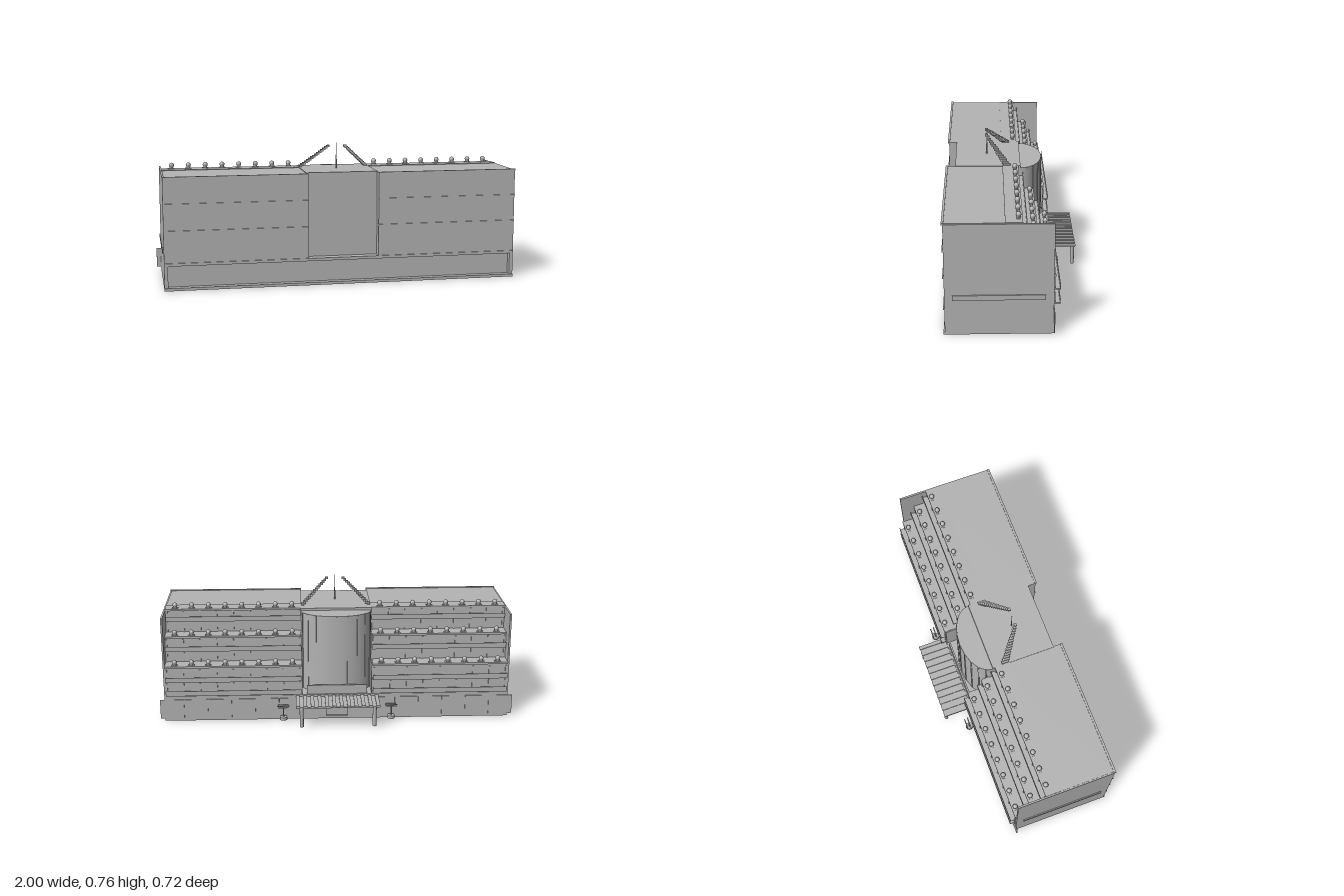
import * as THREE from 'three';

export function createModel() {
  const root = new THREE.Group();
  root.name = 'terracedBuilding';
  const stone = new THREE.MeshStandardMaterial({ color: 0xb3b3b3, side: THREE.DoubleSide });
  stone.name = 'concreteGrey';

  const add = (name, geo, x = 0, y = 0, z = 0) => {
    const m = new THREE.Mesh(geo, stone);
    m.name = name;
    m.position.set(x, y, z);
    root.add(m);
    return m;
  };
  // box given by its minimum and maximum on each axis
  const box = (name, x0, x1, y0, y1, z0, z1) =>
    add(name, new THREE.BoxGeometry(x1 - x0, y1 - y0, z1 - z0),
      (x0 + x1) / 2, (y0 + y1) / 2, (z0 + z1) / 2);
  // the same box on both sides of the building
  const pair = (name, x0, x1, y0, y1, z0, z1) => {
    box(name, x0, x1, y0, y1, z0, z1);
    box(name, -x1, -x0, y0, y1, z0, z1);
  };

  // ground floor, set back behind the front frame and behind the rear panels
  box('baseSlab', -0.975, 0.975, 0, 0.015, -0.195, 0.362);
  box('groundFloor', -0.965, 0.965, 0.015, 0.135, -0.18, 0.325);
  box('firstFloorSlab', -0.965, 0.965, 0.133, 0.148, -0.198, 0.355);
  pair('frontFrame', 0.955, 0.967, 0.015, 0.14, 0.32, 0.355);

  // end walls with a shallow strip
  pair('endWall', 0.965, 0.975, 0, 0.607, -0.195, 0.355);
  pair('endStrip', 0.974, 0.981, 0.195, 0.222, -0.153, 0.315);

  // stepped wings and the recessed centre block
  const tiers = [
    { y0: 0.145, y1: 0.325, back: -0.195, floors: [0.165, 0.245], heads: [0.227, 0.307] },
    { y0: 0.325, y1: 0.475, back: -0.113, floors: [0.4], heads: [0.46] },
    { y0: 0.475, y1: 0.61, back: -0.03, floors: [0.55], heads: [0.6] },
  ];
  box('centreBlock', -0.2, 0.2, 0.145, 0.613, -0.05, 0.31);

  const planterX = Array.from({ length: 8 }, (_, i) => 0.25 + i * 0.0943);
  const ball = new THREE.SphereGeometry(0.014, 12, 8);
  const pot = new THREE.CylinderGeometry(0.012, 0.009, 0.012, 10);
  const saucer = new THREE.BoxGeometry(0.036, 0.004, 0.02);

  for (const t of tiers) {
    pair('wing', 0.195, 0.967, t.y0, t.y1, t.back, 0.355);
    pair('terraceSlab', 0.2, 0.967, t.y1 - 0.008, t.y1 + 0.003, t.back - 0.008, t.back + 0.08);
    for (let f = 0; f < t.floors.length; f++) {
      // balcony with an upright parapet
      const y = t.floors[f];
      pair('balconyFloor', 0.2, 0.962, y - 0.004, y + 0.003, t.back - 0.033, t.back);
      pair('balconyParapet', 0.2, 0.962, y - 0.004, y + 0.025, t.back - 0.033, t.back - 0.03);
      // window mullions
      for (let i = 0; i < 9; i++) {
        const x = 0.205 + i * 0.0935;
        pair('mullion', x, x + 0.008, y, t.heads[f], t.back - 0.006, t.back);
      }
    }
    if (t.floors.length === 1)
      for (let i = 0; i < 9; i++) {
        const x = 0.205 + i * 0.0935;
        pair('lowerMullion', x, x + 0.008, t.y0, t.floors[0], t.back - 0.006, t.back);
      }
    // round planters along each terrace
    for (const px of planterX) for (const s of [-1, 1]) {
      const z = t.back + 0.013;
      add('planterSaucer', saucer, s * px, t.y1 + 0.004, z);
      add('planterPot', pot, s * px, t.y1 + 0.009, z);
      add('planterBush', ball, s * px, t.y1 + 0.022, z);
    }
  }

  // horizontal bands on the front
  for (const y of [0.145, 0.32, 0.465, 0.609])
    pair('frontBand', 0.195, 0.975, y - 0.005, y + 0.005, 0.35, 0.362);
  box('frontSill', -0.195, 0.195, 0.14, 0.15, 0.305, 0.362);

  // rear ground-floor panels with narrow joints, leaving a doorway
  for (let i = 0; i < 7; i++) {
    const x = 0.06 + i * 0.1343;
    pair('rearPanel', x, i === 6 ? 1 : x + 0.13, 0.017, 0.128, -0.2, -0.195);
    pair('rearPanelBacking', x, Math.min(x + 0.134, 0.965), 0.015, 0.135, -0.196, -0.178);
  }

  // curved rear hall with ribs
  const hall = add('curvedHall', new THREE.CylinderGeometry(1, 1, 0.455, 32, 1, false, Math.PI / 2, Math.PI), 0, 0.3725, -0.048);
  hall.scale.set(0.2, 1, 0.124);
  for (let i = 1; i < 10; i++) {
    const a = Math.PI * i / 10;
    const rib = add('hallRib', new THREE.BoxGeometry(0.007, 0.45, 0.006),
      0.2 * Math.cos(a), 0.372, -0.048 - 0.124 * Math.sin(a));
    rib.rotation.y = Math.atan2(Math.cos(a) / 0.2, -Math.sin(a) / 0.124);
  }
  box('hallParapet', -0.17, 0.17, 0.145, 0.2, -0.19, -0.18);

  // entrance canopy with slats on two columns
  box('canopyDeck', -0.233, 0.233, 0.129, 0.136, -0.36, -0.195);
  for (let i = 0; i < 12; i++) {
    const x = -0.233 + i * 0.0405;
    box('canopySlat', x, x + 0.0205, 0.135, 0.142, -0.362, -0.195);
  }
  for (const s of [-1, 1]) {
    add('canopyColumn', new THREE.CylinderGeometry(0.011, 0.011, 0.116, 16), s * 0.203, 0.073, -0.346);
    // lamp stands beside the entrance
    add('standBase', new THREE.CylinderGeometry(0.021, 0.021, 0.017, 16), s * 0.305, 0.0235, -0.236);
    add('standPost', new THREE.CylinderGeometry(0.004, 0.004, 0.065, 10), s * 0.305, 0.0625, -0.236);
    box('standCrossbar', s * 0.305 - 0.035, s * 0.305 + 0.035, 0.091, 0.096, -0.239, -0.233);
    for (const dz of [-0.019, 0.019])
      box('standRail', s * 0.305 - 0.03, s * 0.305 + 0.03, 0.091, 0.095, -0.236 + dz - 0.003, -0.236 + dz + 0.003);
  }

  // stepped roof beams rising towards the mast
  const steps = 15;
  for (let i = 0; i < steps; i++) {
    const t = i / (steps - 1);
    const x = 0.188 - 0.14 * t, y = 0.616 + 0.123 * t, z = 0.026 + 0.11 * t;
    const half = 0.02 - 0.0125 * t;
    pair('roofStep', x - 0.008, x + 0.008, y - 0.006, y + 0.006, z - half, z + half);
  }
  add('mast', new THREE.CylinderGeometry(0.0015, 0.004, 0.148, 8), 0, 0.684, 0.135);

  return root;
}
